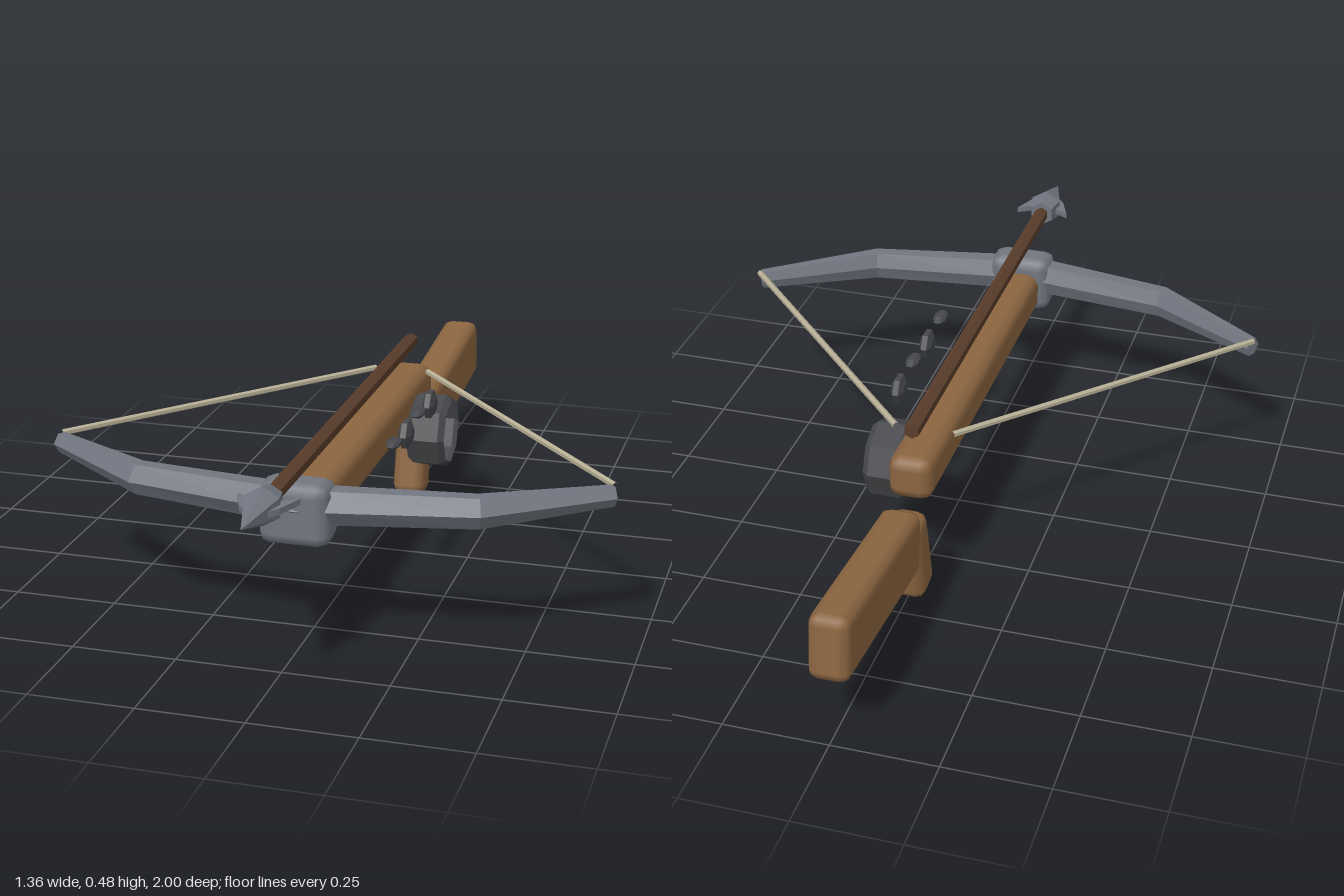
import * as THREE from 'three';
import { RoundedBoxGeometry } from 'three/addons/geometries/RoundedBoxGeometry.js';

const mat = (color, flatShading = false, side = THREE.FrontSide) =>
  new THREE.MeshStandardMaterial({ color, flatShading, side });
const wood = mat(0x8b6540);
const boltWood = mat(0x5a3d2b, true);
const metal = mat(0x717680);
const metalFlat = mat(0x717680, true);
const dark = mat(0x46474b, true, THREE.DoubleSide);
const cord = mat(0xb5ad94, true);

export function createModel() {
  const model = new THREE.Group();
  const add = (name, geometry, material, x = 0, y = 0, z = 0) => {
    const mesh = new THREE.Mesh(geometry, material);
    mesh.name = name;
    mesh.position.set(x, y, z);
    model.add(mesh);
    return mesh;
  };
  const lathe = (points, sides) =>
    new THREE.LatheGeometry(points.map(p => new THREE.Vector2(...p)), sides);

  // Wooden body, shoulder stock and grip
  add('body', new RoundedBoxGeometry(0.11, 0.11, 1.03, 1, 0.03), wood, 0, 0.327, 0.095);
  add('stock', new RoundedBoxGeometry(0.098, 0.162, 0.53, 1, 0.025), wood, 0, 0.23, -0.73)
    .rotation.x = 0.105;
  const grip = new RoundedBoxGeometry(0.086, 0.232, 0.088, 1, 0.025);
  const gp = grip.attributes.position;
  for (let i = 0; i < gp.count; i++) gp.setZ(i, gp.getZ(i) * (1 - 1.5 * gp.getY(i)));
  add('grip', grip, wood, 0, 0.127, -0.415).rotation.x = -0.2;

  // Metal block holding the bow
  add('bowMount', new RoundedBoxGeometry(0.166, 0.15, 0.1, 1, 0.03), metal, 0, 0.345, 0.615);

  // Bow: hexagonal sections swept from tip to tip
  // each station: x, z, half depth, half height, tilt of the section in plan
  const half = [[0.08, 0.612, 0.043, 0.04, 0.12], [0.4, 0.56, 0.035, 0.036, 0.33], [0.669, 0.382, 0.021, 0.023, 0.58]];
  const stations = [
    ...half.map(([x, z, d, h, t]) => [-x, z, d, h, -t]).reverse(),
    [0, 0.623, 0.045, 0.04, 0],
    ...half,
  ];
  const ring = [[1, 0], [0.35, 1], [-0.6, 1], [-1, 0], [-0.6, -1], [0.35, -1]];
  const verts = [], faces = [], n = ring.length;
  stations.forEach(([x, z, d, h, t], i) => {
    ring.forEach(([u, v], j) => {
      verts.push(x + u * d * Math.sin(t), 0.361 + v * h, z + u * d * Math.cos(t));
      if (i === stations.length - 1) return;
      const a = i * n + j, b = i * n + (j + 1) % n;
      faces.push(a, a + n, b, b, a + n, b + n);
    });
  });
  const last = (stations.length - 1) * n;
  for (let j = 1; j < n - 1; j++) faces.push(0, j, j + 1, last, last + j + 1, last + j);
  const bow = new THREE.BufferGeometry();
  bow.setAttribute('position', new THREE.Float32BufferAttribute(verts, 3));
  bow.setIndex(faces);
  bow.computeVertexNormals();
  add('bow', bow, metalFlat);

  // Two drawn string halves
  for (const s of [-1, 1]) {
    const path = new THREE.LineCurve3(
      new THREE.Vector3(s * 0.67, 0.382, 0.372), new THREE.Vector3(s * 0.07, 0.394, -0.292));
    add(s > 0 ? 'stringLeft' : 'stringRight', new THREE.TubeGeometry(path, 1, 0.008, 6), cord);
  }

  // Bolt floating above the body
  add('boltShaft', new THREE.CylinderGeometry(0.019, 0.019, 1.22, 6), boltWood, 0, 0.447, 0.22)
    .rotation.x = Math.PI / 2;
  add('boltHead', lathe([[0, 0.81], [0.033, 0.81], [0.045, 0.86], [0, 1]], 6), metalFlat, 0, 0.447, 0)
    .rotation.x = Math.PI / 2;
  const barb = new THREE.Shape([[0.015, 0.92], [0.028, 0.84], [0.07, 0.815], [0.045, 0.88]]
    .map(p => new THREE.Vector2(...p)));
  const barbGeo = new THREE.ExtrudeGeometry(barb, { depth: 0.014, bevelEnabled: false });
  barbGeo.translate(0, 0, -0.007).rotateX(Math.PI / 2);
  add('barbLeft', barbGeo, metalFlat, 0, 0.447, 0);
  add('barbRight', barbGeo, metalFlat, 0, 0.447, 0).rotation.z = Math.PI;

  // Open winding drum on the side
  add('drum', lathe([[0.084, -0.05], [0.097, -0.035], [0.097, 0.035], [0.084, 0.05]], 8),
    dark, 0.1, 0.26, -0.227).rotation.z = -Math.PI / 2;

  // Chain links, alternately upright and flat
  const link = lathe([[0, -0.016], [0.017, -0.016], [0.037, -0.007], [0.037, 0.007], [0.017, 0.016], [0, 0.016]], 6);
  link.rotateZ(-Math.PI / 2);
  for (let i = 0; i < 4; i++) {
    const flat = i % 2 === 1;
    const mesh = add('chainLink', link, dark, 0.125, flat ? 0.391 : 0.375, -0.095 + i * 0.117);
    if (flat) mesh.scale.y = 0.3;
  }
  return model;
}
